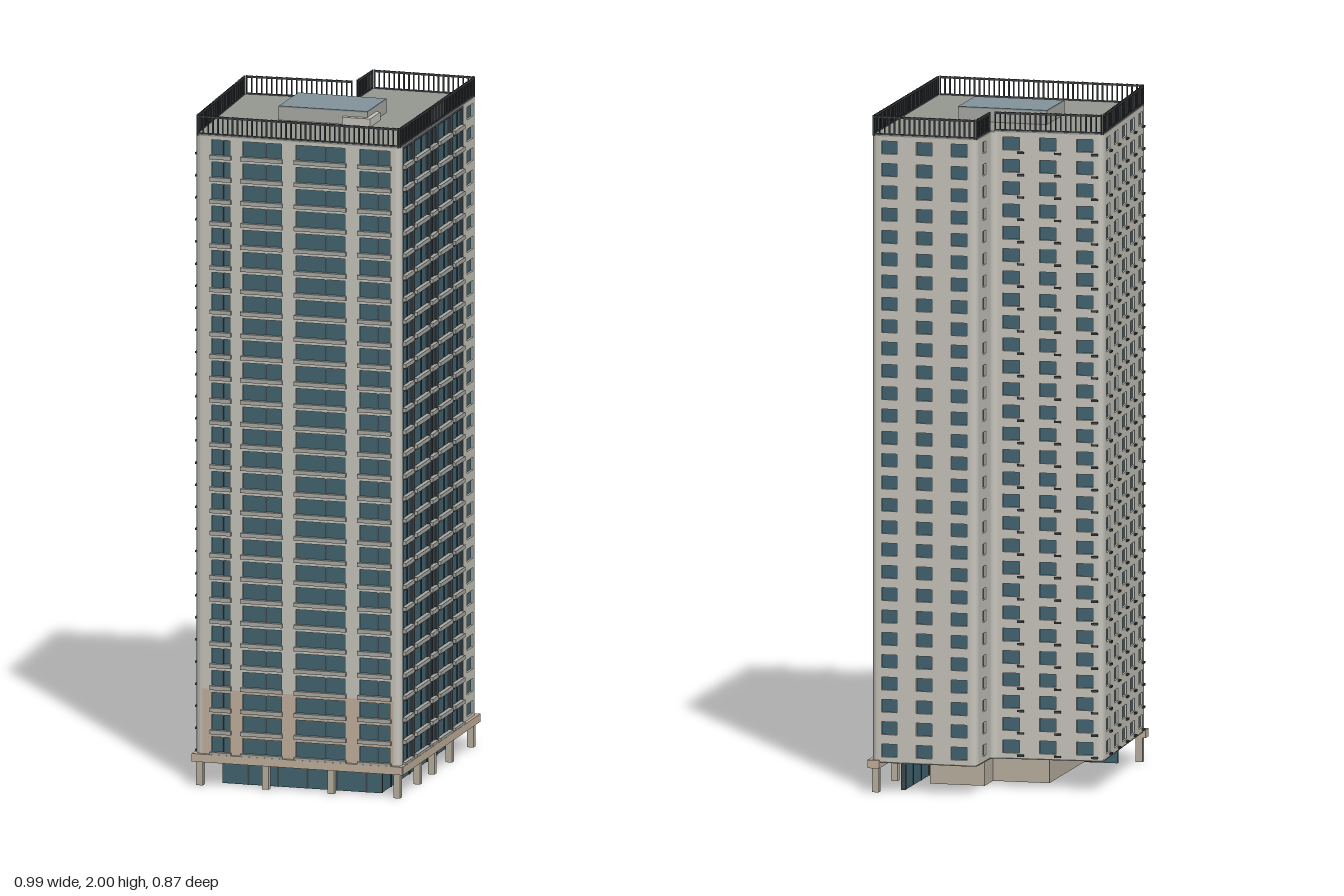
import * as THREE from 'three';
import { mergeGeometries } from 'three/addons/utils/BufferGeometryUtils.js';

const FLOORS = 28, Y0 = 0.092, Y1 = 1.94, FH = (Y1 - Y0) / FLOORS;
const DEPTH = 0.008, ROUND = 0.022;

const mats = {
  wall: 0xc6c4bb, tan: 0xc2b09c, dark: 0x3d474b, glass: 0x41636f, ledge: 0xa9aaa4,
  roof: 0x969892, soffit: 0x6c6c69, rail: 0x3c4043, skylight: 0x84949c, core: 0xb8b0a0,
};
for (const k in mats) mats[k] = new THREE.MeshStandardMaterial({ color: mats[k] });

// Footprint corners (x, z): front, right, back right, inner notch, back, left
const corners = [[0, 0.425], [0.48, -0.16], [0.235, -0.365], [0.13, -0.24], [-0.14, -0.435], [-0.483, 0.025]]
  .map(([x, z]) => new THREE.Vector2(x, z));

// One record per facade; its matrix maps x along the wall, y up, z outward
const edges = corners.map((p, i) => {
  const q = corners[(i + 1) % corners.length];
  const d = q.clone().sub(p), len = d.length();
  d.divideScalar(len);
  const m = new THREE.Matrix4().makeBasis(
    new THREE.Vector3(d.x, 0, d.y), new THREE.Vector3(0, 1, 0), new THREE.Vector3(-d.y, 0, d.x));
  m.setPosition(p.x, 0, p.y);
  return { p, q, d, n: new THREE.Vector2(-d.y, d.x), len, m };
});

// Box given by its limits
function box(x0, x1, y0, y1, z0, z1) {
  return new THREE.BoxGeometry(x1 - x0, y1 - y0, z1 - z0)
    .translate((x0 + x1) / 2, (y0 + y1) / 2, (z0 + z1) / 2);
}

// Upright prism from plan points (x, z)
function prism(shape, y0, y1) {
  return new THREE.ExtrudeGeometry(shape, { depth: y1 - y0, bevelEnabled: false, curveSegments: 5 })
    .rotateX(-Math.PI / 2).translate(0, y0, 0);
}
const planShape = (pts) => new THREE.Shape(pts.map((p) => new THREE.Vector2(p.x, -p.y)));

// Footprint moved inwards, with rounded corners
function outline(inset) {
  const s = new THREE.Shape();
  corners.forEach((c, i) => {
    const e = edges[i], b = edges[(i + 5) % 6];
    const k = inset / (1 + b.n.dot(e.n));
    const v = c.clone().addScaledVector(b.n, -k).addScaledVector(e.n, -k);
    const a = v.clone().addScaledVector(b.d, -ROUND), z = v.clone().addScaledVector(e.d, ROUND);
    if (i) s.lineTo(a.x, -a.y); else s.moveTo(a.x, -a.y);
    s.quadraticCurveTo(v.x, -v.y, z.x, -z.y);
  });
  s.closePath();
  return s;
}

// Evenly sized window spans around given centres, as fractions of the wall
const spans = (centres, w) => centres.map((c) => [c - w / 2, c + w / 2]);
const frontBays = [[0.04, 0.15], [0.19, 0.36], [0.395, 0.465], [0.5, 0.655], [0.695, 0.81]];
const sideBays = [[0.08, 0.17], [0.23, 0.42], [0.49, 0.73], [0.80, 0.95]];

// Wall sections: edge, extent, floors, material, windows, sill, head, balconies, sill boxes
const sections = [
  { e: 0, t: [0, 0.83], f: [0, 28], mat: 'dark', win: frontBays, y: [0.008, 0.058], balcony: true },
  { e: 0, t: [0.83, 1], f: [0, 28], mat: 'wall', win: [[0.88, 0.955]], y: [0.014, 0.052] },
  { e: 1, t: [0, 1], f: [0, 28], mat: 'wall', win: spans([0.17, 0.5, 0.83], 0.15), y: [0.014, 0.052] },
  { e: 2, t: [0, 1], f: [0, 28], mat: 'wall', win: spans([0.5], 0.2), y: [0.016, 0.05] },
  { e: 3, t: [0, 1], f: [0, 28], mat: 'wall', win: spans([0.17, 0.5, 0.83], 0.15), y: [0.014, 0.052], sill: true },
  { e: 4, t: [0, 1], f: [0, 28], mat: 'wall', win: spans([0.11, 0.305, 0.5, 0.695, 0.89], 0.088), y: [0.014, 0.052], sill: true },
  { e: 5, t: [0, 1], f: [0, 3], mat: 'tan', win: sideBays, y: [0.01, 0.056], balcony: true },
  { e: 5, t: [0, 1], f: [3, 28], mat: 'wall', win: sideBays, y: [0.01, 0.056], balcony: true },
];

export function createModel() {
  const model = new THREE.Group();
  const add = (name, mat, geos) => {
    const flat = geos.map((g) => (g.index ? g.toNonIndexed() : g));
    const mesh = new THREE.Mesh(mergeGeometries(flat), mats[mat]);
    mesh.name = name;
    model.add(mesh);
  };

  // Facades: pierced panels, glass behind, balcony ledges and mullions
  const panels = { wall: [], dark: [], tan: [] }, glass = [], ledges = [], mullions = [], sills = [];
  for (const s of sections) {
    const { len, m } = edges[s.e];
    const x0 = Math.max(s.t[0] * len, ROUND), x1 = Math.min(s.t[1] * len, len - ROUND);
    const y0 = Y0 + s.f[0] * FH, y1 = Y0 + s.f[1] * FH;
    const panel = new THREE.Shape([[x0, y0], [x1, y0], [x1, y1], [x0, y1]].map((p) => new THREE.Vector2(...p)));
    for (let f = s.f[0]; f < s.f[1]; f++) {
      const base = Y0 + f * FH, a = base + s.y[0], b = base + s.y[1];
      for (const [t0, t1] of s.win) {
        const l = t0 * len, r = t1 * len;
        panel.holes.push(new THREE.Path([[l, a], [l, b], [r, b], [r, a]].map((p) => new THREE.Vector2(...p))));
        glass.push(box(l, r, a, b, -DEPTH, -DEPTH + 0.002).applyMatrix4(m));
        if (s.balcony) {
          ledges.push(box(l - 0.004, r + 0.004, base - 0.001, base + 0.011, -0.004, 0.009).applyMatrix4(m));
          const c = l + (r - l) * 0.6;
          mullions.push(box(c - 0.002, c + 0.002, a, b, -DEPTH, -0.003).applyMatrix4(m));
        }
        if (s.sill) sills.push(box(r - 0.006, r + 0.014, a - 0.01, a - 0.004, 0, 0.006).applyMatrix4(m));
      }
    }
    panels[s.mat].push(new THREE.ExtrudeGeometry(panel, { depth: DEPTH, bevelEnabled: false })
      .translate(0, 0, -DEPTH).applyMatrix4(m));
  }
  add('facadeWalls', 'wall', panels.wall);
  add('darkFacade', 'dark', panels.dark);
  add('lowerFacade', 'tan', panels.tan);
  add('windows', 'glass', glass);
  add('balconyLedges', 'ledge', ledges);
  add('windowMullions', 'dark', mullions);
  add('windowSills', 'rail', sills);

  // Solid tower behind the panels, and rounded corner strips
  add('towerCore', 'wall', [prism(outline(DEPTH), Y0, Y1 - 0.002)]);
  add('cornerStrips', 'wall', corners.map((c, i) => {
    const e = edges[i], b = edges[(i + 5) % 6], s = new THREE.Shape();
    const p = c.clone().addScaledVector(b.d, -ROUND), q = c.clone().addScaledVector(e.d, ROUND);
    const qi = q.clone().addScaledVector(e.n, -DEPTH), pi = p.clone().addScaledVector(b.n, -DEPTH);
    s.moveTo(p.x, -p.y);
    s.quadraticCurveTo(c.x, -c.y, q.x, -q.y);
    s.lineTo(qi.x, -qi.y);
    s.lineTo(pi.x, -pi.y);
    return prism(s, Y0, Y1);
  }));
  add('roof', 'roof', [prism(outline(0), Y1 - 0.001, Y1 + 0.004)]);
  add('soffit', 'soffit', [prism(outline(0.002), Y0 - 0.004, Y0)]);

  // Roof railing
  const rails = [];
  for (const { len, m } of edges) {
    const x0 = ROUND * 0.4, x1 = len - x0, n = Math.round((x1 - x0) / 0.015);
    for (let i = 0; i <= n; i++) {
      const x = x0 + (x1 - x0) * i / n;
      rails.push(box(x - 0.002, x + 0.002, Y1, 2, -0.006, -0.002).applyMatrix4(m));
    }
    for (const y of [Y1 + 0.005, 1.996])
      rails.push(box(x0, x1, y - 0.003, y + 0.003, -0.006, -0.002).applyMatrix4(m));
  }
  add('roofRailing', 'rail', rails);

  // Rooftop plant room with skylight, and the low angled wall at its front
  const V = (x, z) => new THREE.Vector2(x, z);
  const plant = planShape([V(-0.06, -0.21), V(0.145, -0.035), V(0.025, 0.11), V(-0.185, -0.06)]);
  add('plantRoom', 'ledge', [prism(plant, Y1, 1.982)]);
  add('skylight', 'skylight', [prism(plant, 1.982, 1.986)]);
  add('roofScreen', 'wall', [prism(planShape([V(-0.03, 0.063), V(0.025, 0.11), V(0.08, 0.042),
    V(0.09, 0.053), V(0.025, 0.132), V(-0.042, 0.077)]), Y1, 1.968)]);

  // Canopy beam and columns along the two street sides
  const beams = [], columns = [];
  for (const [i, stops] of [[0, [0.014, 0.28, 0.47, 0.7, 0.985]], [5, [0.02, 0.34, 0.66]]]) {
    const { len, m } = edges[i];
    beams.push(box(-0.008, len + 0.008, 0.072, 0.096, -0.025, 0.01).applyMatrix4(m));
    for (const t of stops)
      columns.push(box(t * len - 0.01, t * len + 0.01, 0, 0.074, -0.022, -0.002).applyMatrix4(m));
  }
  add('canopyBeam', 'tan', beams);
  add('columns', 'core', columns);

  // Ground floor: glazed lobby walls with mullions, and the stepped service core
  const front = edges[0].m, lobby = [], bars = [];
  lobby.push(box(0.055, 0.69, 0, 0.074, -0.085, -0.075).applyMatrix4(front));
  lobby.push(box(0.055, 0.065, 0, 0.074, -0.56, -0.075).applyMatrix4(front));
  for (let x = 0.06; x < 0.7; x += 0.09)
    bars.push(box(x - 0.003, x + 0.003, 0, 0.075, -0.087, -0.072).applyMatrix4(front));
  for (let z = -0.12; z > -0.56; z -= 0.09)
    bars.push(box(0.052, 0.068, 0, 0.075, z - 0.003, z + 0.003).applyMatrix4(front));
  lobby.push(box(0.055, 0.69, 0.068, Y0, -0.085, -0.075).applyMatrix4(front));
  lobby.push(box(0.055, 0.065, 0.068, Y0, -0.56, -0.075).applyMatrix4(front));
  add('lobbyGlass', 'glass', lobby);
  add('lobbyMullions', 'dark', bars);
  add('serviceCore', 'core', [
    box(0.065, 0.56, 0, Y0, -0.29, -0.125).applyMatrix4(front),
    box(0.065, 0.465, 0, Y0, -0.46, -0.29).applyMatrix4(front),
  ]);
  return model;
}
